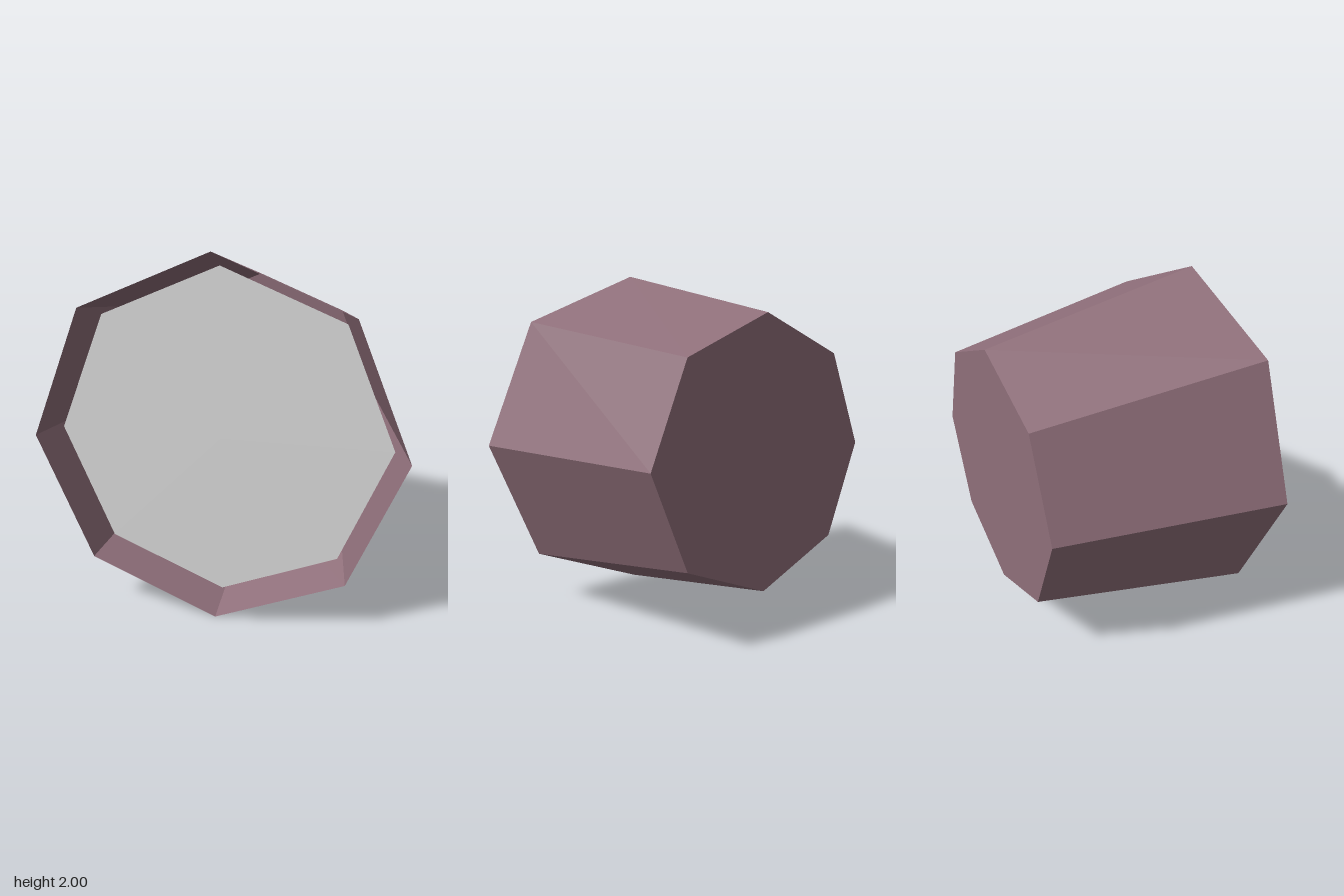
import * as THREE from 'three';

const SIDES = 8;
const DEPTH = 1.25;
const FRONT_R = 1;
const BACK_R = 0.75;

export function createModel() {
  const model = new THREE.Group();
  model.name = 'octagonalShade';

  const mauve = new THREE.MeshStandardMaterial({ color: 0x8f6f7a, flatShading: true, side: THREE.DoubleSide });
  mauve.name = 'mauve shell';
  const paleGrey = new THREE.MeshStandardMaterial({ color: 0xe0e0e0, flatShading: true, side: THREE.DoubleSide });
  paleGrey.name = 'pale grey panel';

  const add = (name, geometry, material, z) => {
    const mesh = new THREE.Mesh(geometry, material);
    mesh.name = name;
    mesh.position.set(0, 1, z);
    model.add(mesh);
  };

  // Thin tapered wall, open at the wide front end
  const wall = new THREE.CylinderGeometry(FRONT_R, BACK_R, DEPTH, SIDES, 1, true);
  wall.rotateX(Math.PI / 2);
  add('shellWall', wall, mauve, 0);

  // Closed back end, facing -z
  const back = new THREE.CircleGeometry(BACK_R, SIDES);
  back.rotateY(Math.PI);
  add('backPanel', back, mauve, -DEPTH / 2);

  // Pale panel set just inside the front opening
  add('frontPanel', new THREE.CircleGeometry(0.917, SIDES), paleGrey, 0.455);

  return model;
}
